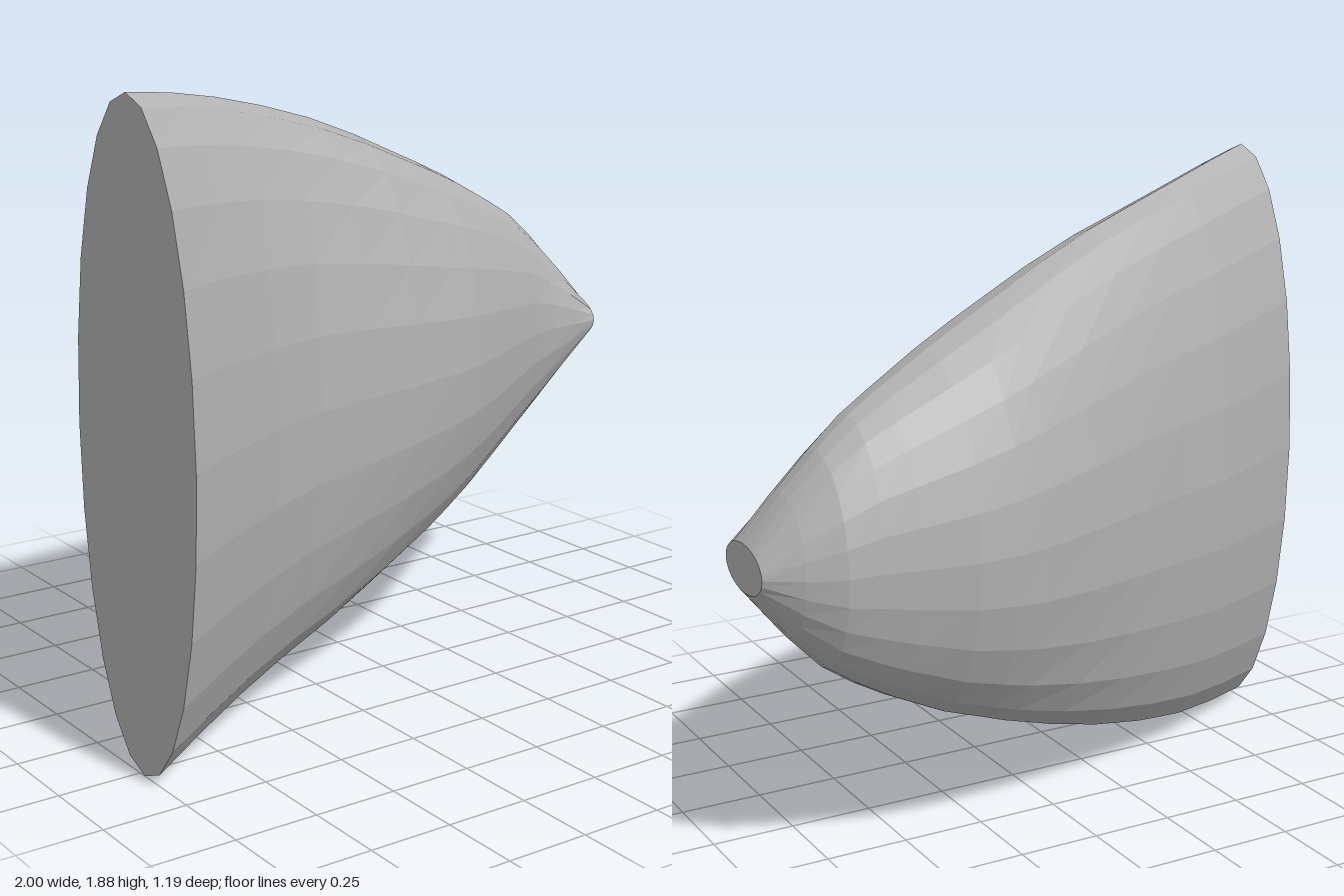
import * as THREE from 'three';

const SIDES = 24;

// cross-sections: x, bottom y, top y, back z, front z
const SECTIONS = [
  [-1.0, 0.0, 1.875, -0.04, 0.59],
  [-0.8, 0.03, 1.85, -0.15, 0.465],
  [-0.6, 0.065, 1.815, -0.25, 0.355],
  [-0.4, 0.11, 1.77, -0.325, 0.27],
  [-0.2, 0.165, 1.715, -0.405, 0.225],
  [0.0, 0.235, 1.645, -0.49, 0.185],
  [0.2, 0.315, 1.565, -0.56, 0.13],
  [0.3, 0.36, 1.525, -0.587, 0.096],
  [0.43, 0.415, 1.47, -0.597, 0.03],
  [0.6, 0.505, 1.385, -0.578, -0.064],
  [0.7, 0.565, 1.33, -0.565, -0.115],
  [0.8, 0.635, 1.25, -0.55, -0.155],
  [0.9, 0.74, 1.14, -0.502, -0.176],
  [1.0, 0.87, 1.01, -0.437, -0.187],
];

// one point on the ellipse of a section
function ringPoint([x, y0, y1, z0, z1], j) {
  const a = (j / SIDES) * Math.PI * 2;
  return [
    x,
    (y0 + y1) / 2 + (Math.cos(a) * (y1 - y0)) / 2,
    (z0 + z1) / 2 + (Math.sin(a) * (z1 - z0)) / 2,
  ];
}

function makeGeometry(positions) {
  const geometry = new THREE.BufferGeometry();
  geometry.setAttribute('position', new THREE.Float32BufferAttribute(positions, 3));
  geometry.computeVertexNormals();
  return geometry;
}

// skin between neighbouring sections
function loft() {
  const p = [];
  for (let i = 0; i < SECTIONS.length - 1; i++) {
    for (let j = 0; j < SIDES; j++) {
      const a = ringPoint(SECTIONS[i], j);
      const b = ringPoint(SECTIONS[i], j + 1);
      const c = ringPoint(SECTIONS[i + 1], j);
      const d = ringPoint(SECTIONS[i + 1], j + 1);
      p.push(...a, ...b, ...c, ...b, ...d, ...c);
    }
  }
  return makeGeometry(p);
}

// flat end, facing +x or -x
function cap(section, facesLeft) {
  const [x, y0, y1, z0, z1] = section;
  const centre = [x, (y0 + y1) / 2, (z0 + z1) / 2];
  const p = [];
  for (let j = 0; j < SIDES; j++) {
    const a = ringPoint(section, j);
    const b = ringPoint(section, j + 1);
    p.push(...centre, ...(facesLeft ? a : b), ...(facesLeft ? b : a));
  }
  return makeGeometry(p);
}

export function createModel() {
  const grey = new THREE.MeshStandardMaterial({ color: 0xb3b3b3, flatShading: true });
  grey.name = 'grey';

  const group = new THREE.Group();
  group.name = 'taperedBody';
  const add = (name, geometry) => {
    const mesh = new THREE.Mesh(geometry, grey);
    mesh.name = name;
    group.add(mesh);
  };

  add('curvedSkin', loft());
  add('wideEnd', cap(SECTIONS[0], false));
  add('narrowEnd', cap(SECTIONS[SECTIONS.length - 1], true));
  return group;
}
